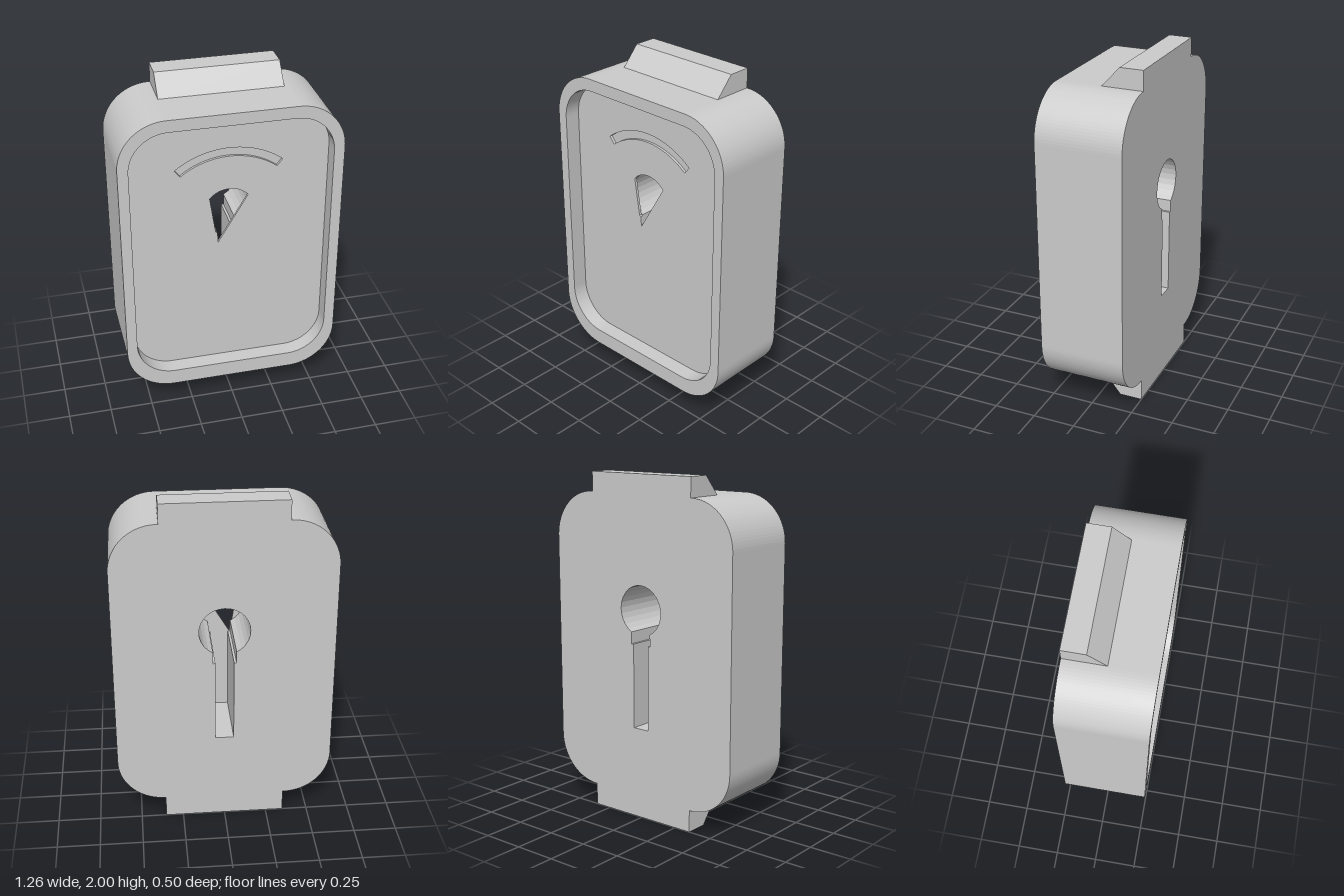
import * as THREE from 'three';

const material = new THREE.MeshStandardMaterial({ color: 0xcccccc });

// Rounded rectangle outline, usable as a shape or a hole
function roundedRect(halfW, y0, y1, r) {
  const s = new THREE.Shape();
  s.absarc(halfW - r, y1 - r, r, 0, Math.PI / 2);
  s.absarc(-halfW + r, y1 - r, r, Math.PI / 2, Math.PI);
  s.absarc(-halfW + r, y0 + r, r, Math.PI, Math.PI * 1.5);
  s.absarc(halfW - r, y0 + r, r, Math.PI * 1.5, Math.PI * 2);
  s.closePath();
  return s;
}

// Case outline with holes, extruded between two depths
function layer(name, z0, z1, holes) {
  const shape = roundedRect(0.63, 0.13, 1.887, 0.27);
  shape.holes.push(...holes);
  const geo = new THREE.ExtrudeGeometry(shape, { depth: z1 - z0, bevelEnabled: false, curveSegments: 12 });
  geo.translate(0, 0, z0);
  const mesh = new THREE.Mesh(geo, material);
  mesh.name = name;
  return mesh;
}

// Round hole with a stepped slot hanging below it
function keyhole() {
  const cy = 1.235, r = 0.145, neck = 0.067, slot = 0.053;
  const a = Math.asin(neck / r);
  const p = new THREE.Path();
  p.absarc(0, cy, r, -Math.PI / 2 + a, Math.PI * 1.5 - a);
  p.lineTo(-neck, 1.037);
  p.lineTo(-slot, 1.037);
  p.lineTo(-slot, 0.54);
  p.lineTo(slot, 0.54);
  p.lineTo(slot, 1.037);
  p.lineTo(neck, 1.037);
  p.closePath();
  return p;
}

// Fan-shaped window where the face opens into the keyhole
function fanWindow() {
  const a = Math.atan2(0.094, 0.111);
  const p = new THREE.Path();
  p.absarc(0, 1.235, 0.145, a, Math.PI - a);
  p.lineTo(-0.076, 1.105);
  p.lineTo(-0.066, 1.1);
  p.lineTo(-0.062, 1.037);
  p.closePath();
  return p;
}

// Curved scale groove
function arcGroove() {
  const cy = 1.14, a = THREE.MathUtils.degToRad(52);
  const p = new THREE.Path();
  p.absarc(0, cy, 0.496, a, Math.PI - a, false);
  p.absarc(0, cy, 0.445, Math.PI - a, a, true);
  p.closePath();
  return p;
}

// Wedge tab: profile in (z, y), extruded across x
function tab(name, yBase, yEnd) {
  const points = [[-0.25, yBase], [-0.01, yBase], [-0.115, yEnd], [-0.25, yEnd]];
  const shape = new THREE.Shape(points.map(([z, y]) => new THREE.Vector2(-z, y)));
  const geo = new THREE.ExtrudeGeometry(shape, { depth: 0.706, bevelEnabled: false });
  geo.translate(0, 0, -0.353);
  geo.rotateY(Math.PI / 2);
  const mesh = new THREE.Mesh(geo, material);
  mesh.name = name;
  return mesh;
}

export function createModel() {
  const group = new THREE.Group();
  group.name = 'gaugeCase';
  group.add(
    layer('caseBack', -0.25, 0.14, [keyhole()]),
    layer('facePlate', 0.14, 0.155, [fanWindow(), arcGroove()]),
    layer('frontRim', 0.155, 0.25, [roundedRect(0.57, 0.227, 1.817, 0.22)]),
    tab('topTab', 1.885, 2),
    tab('bottomTab', 0.132, 0)
  );
  return group;
}
